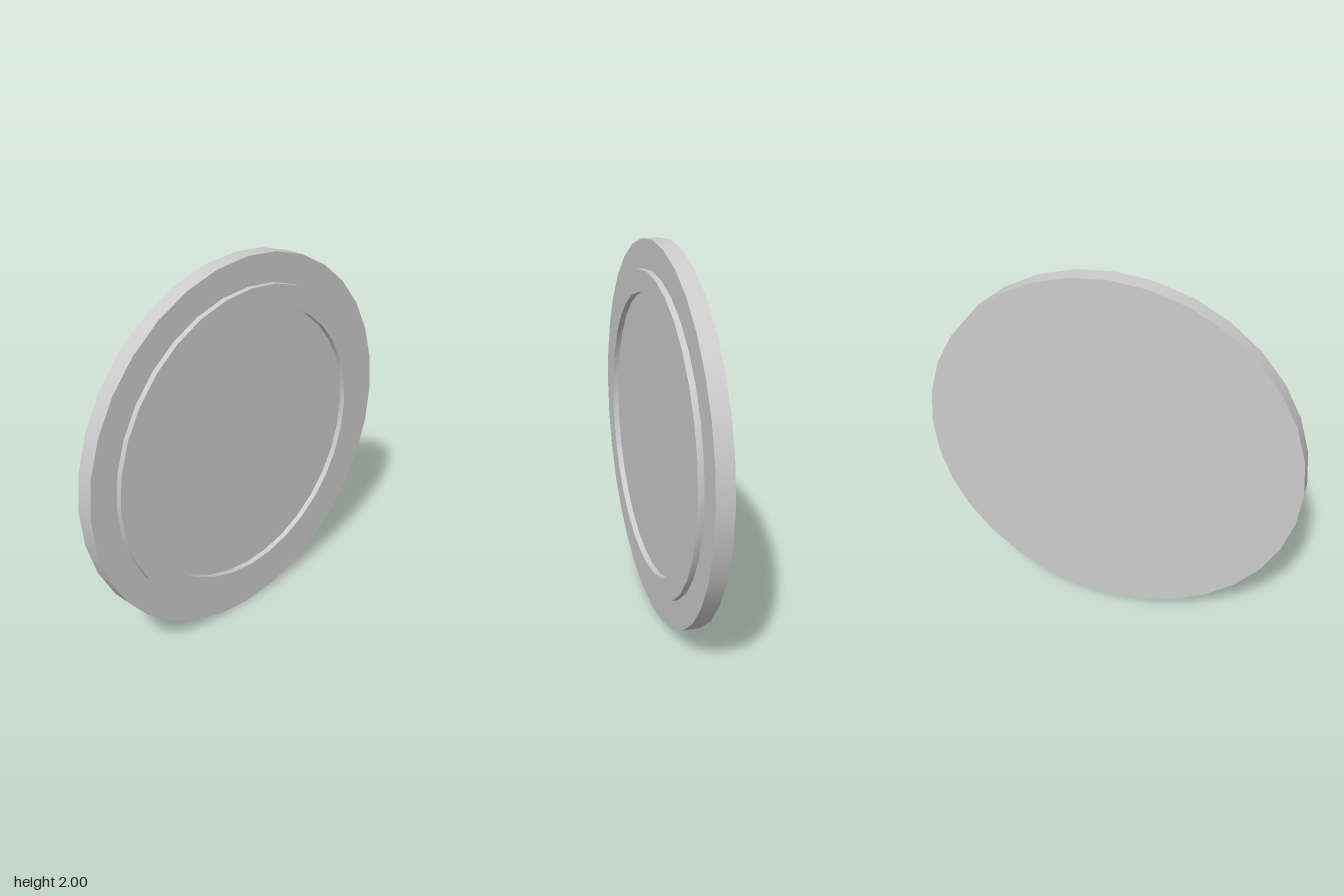
import * as THREE from 'three';
import { toCreasedNormals } from 'three/addons/utils/BufferGeometryUtils.js';

const SEGMENTS = 32;
const BACK = -0.06, FACE = 0.03, FRONT = 0.06;

export function createModel() {
  const model = new THREE.Group();
  const material = new THREE.MeshStandardMaterial({ color: 0xcccccc });

  const add = (name, geometry) => {
    geometry.rotateX(Math.PI / 2); // turn the axis from y to +z
    const mesh = new THREE.Mesh(geometry, material);
    mesh.name = name;
    mesh.position.y = 1;
    model.add(mesh);
  };

  // Solid round plate
  const plate = new THREE.CylinderGeometry(1, 1, FACE - BACK, SEGMENTS);
  plate.translate(0, (FACE + BACK) / 2, 0);
  add('plate', plate);

  // Raised flat ring on the front face
  const profile = [[0.85, FACE], [0.85, FRONT], [0.735, FRONT], [0.735, FACE]]
    .map(([r, h]) => new THREE.Vector2(r, h));
  add('raisedRing', toCreasedNormals(new THREE.LatheGeometry(profile, SEGMENTS), 0.6));

  return model;
}
